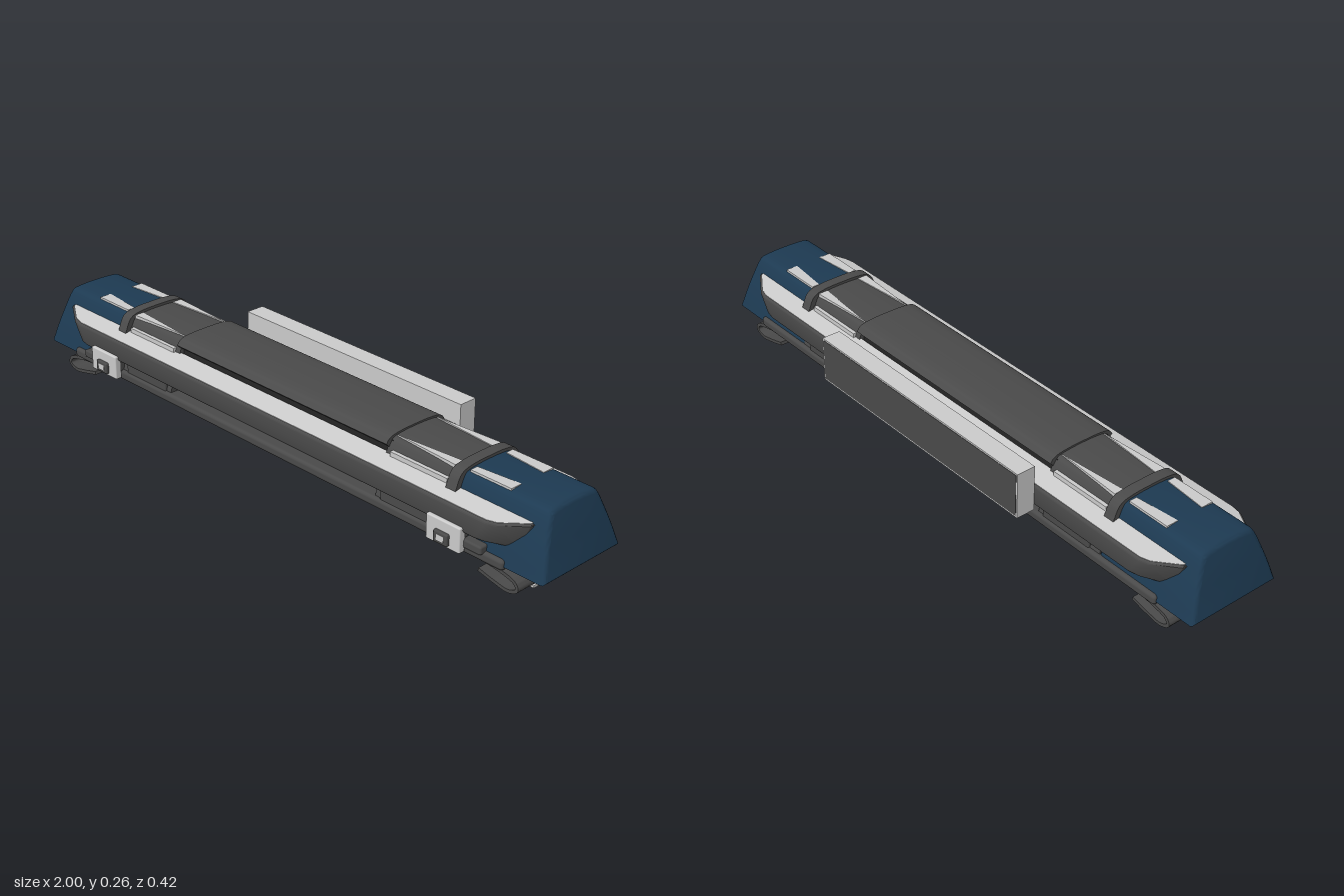
import * as THREE from 'three';
import { toCreasedNormals } from 'three/addons/utils/BufferGeometryUtils.js';
import { RoundedBoxGeometry } from 'three/addons/geometries/RoundedBoxGeometry.js';

const mat = (color) => new THREE.MeshStandardMaterial({ color, side: THREE.DoubleSide });
const light = mat(0xcccccc), dark = mat(0x4a4a4a), black = mat(0x262626);
const navy = mat(0x1d3a52), blue = mat(0x1010e0);
const CENTRE_Z = 0.0205;

function add(parent, name, geometry, material) {
  const m = new THREE.Mesh(geometry, material);
  m.name = name;
  parent.add(m);
  return m;
}

// Box given by its min and max on each axis, optionally rounded
function box(parent, name, [x0, x1], [y0, y1], [z0, z1], material, r = 0) {
  const s = [x1 - x0, y1 - y0, z1 - z0];
  const g = r ? new RoundedBoxGeometry(...s, 2, r) : new THREE.BoxGeometry(...s);
  g.translate((x0 + x1) / 2, (y0 + y1) / 2, (z0 + z1) / 2);
  return add(parent, name, g, material);
}

const shapeOf = (pts) => new THREE.Shape(pts.map(([a, b]) => new THREE.Vector2(a, b)));

function extrude(pts, depth, bevel = 0) {
  return new THREE.ExtrudeGeometry(shapeOf(pts), {
    depth: depth - 2 * bevel, bevelEnabled: bevel > 0, bevelSize: bevel,
    bevelThickness: bevel, bevelOffset: -bevel, bevelSegments: 3,
  }).translate(0, 0, bevel);
}

// Cross-section of [z, y] points swept along x
function sweepX(pts, x0, x1, bevel = 0) {
  const g = extrude(pts.map(([z, y]) => [-z, y]), x1 - x0, bevel);
  return g.rotateY(Math.PI / 2).translate(x0, 0, 0);
}

// Plan outline of [x, z] points raised from y0 to y1
function raise(pts, y0, y1, bevel = 0) {
  const g = extrude(pts.map(([x, z]) => [x, -z]), y1 - y0, bevel);
  return g.rotateX(-Math.PI / 2).translate(0, y0, 0);
}

function bend(g, rule) {
  const p = g.attributes.position, v = new THREE.Vector3();
  for (let i = 0; i < p.count; i++) {
    rule(v.fromBufferAttribute(p, i));
    p.setXYZ(i, v.x, v.y, v.z);
  }
  return toCreasedNormals(g, 0.6);
}

// Smooth symmetric outline from its right half
const mirrored = (half) => [...half, ...half.map(([z, y]) => [-z, y]).reverse()];
const smooth = (half) => {
  const c = new THREE.CatmullRomCurve3(half.map(([z, y]) => new THREE.Vector3(z, y, 0)), false, 'centripetal');
  return c.getPoints(20).map((p) => [p.x, p.y]);
};

// Closed band between a symmetric arch and its inset copy
function arch(half, t) {
  const outer = mirrored(smooth(half));
  const inner = outer.map(([z, y]) => [z * (1 - t / 0.11), y - t]).reverse();
  return [...outer, ...inner];
}

const domeHalf = [[0.148, 0.08], [0.132, 0.138], [0.11, 0.2], [0.093, 0.239], [0.083, 0.25], [0.04, 0.256], [0.006, 0.257]];

function createEnd() {
  const end = new THREE.Group();
  const dome = mirrored(smooth(domeHalf));

  // Lens cap with a leaning outer face
  const cap = sweepX(dome, 0.655, 1, 0.012);
  add(end, 'endCap', bend(cap, (v) => {
    if (v.x > 0.9) v.x -= 0.042 * (v.y - 0.08) / 0.177;
  }), navy);

  // Inner module and its side window
  add(end, 'innerDome', toCreasedNormals(sweepX(dome, 0.42, 0.657), 0.6), dark);
  for (const s of [-1, 1]) {
    const z = (a, b) => [Math.min(s * a, s * b), Math.max(s * a, s * b)];
    box(end, 'sideWindow', [0.44, 0.64], [0.208, 0.224], z(0.085, 0.112), light);
    box(end, 'lowerBlock', [0.44, 0.62], [0.09, 0.13], z(0.1, 0.148), dark, 0.005);

    // Light tapered strip and insert on top
    const wedge = [[0.43, s * 0.075], [0.645, s * 0.057], [0.645, s * 0.088]];
    add(end, 'taperedStrip', raise(s > 0 ? wedge : wedge.reverse(), 0.245, 0.257), light);
    const insert = [[0.69, s * 0.055], [0.825, s * 0.042], [0.825, s * 0.08], [0.69, s * 0.08]];
    add(end, 'topInsert', raise(insert, 0.245, 0.2575), light);

    // Foot fixings
    box(end, 'footTab', [0.895, 0.915], [0.012, 0.019], z(0.06, 0.082), light);
    box(end, 'footTab', [0.8, 0.86], [0.07, 0.077], z(0.07, 0.1), light);
  }

  // Strap over the top
  const strap = [[0.131, 0.195], [0.123, 0.213], [0.108, 0.245], [0.092, 0.257], [0.05, 0.264], [0.006, 0.265]];
  add(end, 'strap', toCreasedNormals(sweepX(arch(strap, 0.014), 0.648, 0.682), 0.6), dark);

  // Hooked mounting foot: folded plate
  const path = new THREE.CatmullRomCurve3([[0.65, 0.07], [0.8, 0.07], [0.86, 0.062], [0.905, 0.048], [0.912, 0.03],
    [0.885, 0.017], [0.84, 0.023], [0.785, 0.036]].map(([x, y]) => new THREE.Vector3(x, y, 0)), false, 'centripetal');
  const a = [], b = [], n = 32;
  for (let i = 0; i <= n; i++) {
    const p = path.getPoint(i / n), t = path.getTangent(i / n);
    a.push([p.x - t.y * 0.005, p.y + t.x * 0.005]);
    b.unshift([p.x + t.y * 0.005, p.y - t.x * 0.005]);
  }
  const foot = extrude([...a, ...b], 0.29).translate(0, 0, -0.145);
  add(end, 'mountingFoot', toCreasedNormals(foot, 0.6), dark);
  return end;
}

// Long side rail with chamfered, undercut ends
function createRail() {
  const plan = [[0.93, 0.105], [0.925, 0.118], [0.855, 0.162], [0.825, 0.169]];
  const outline = [...plan, ...plan.map(([x, z]) => [-x, z]).reverse()];
  const g = raise(outline, 0.135, 0.198, 0.007);
  bend(g, (v) => {
    const low = (0.198 - v.y) / 0.063;
    if (Math.abs(v.x) > 0.8) v.x -= Math.sign(v.x) * 0.04 * low;
    if (v.y > 0.16) v.y += (0.169 - v.z) * 0.2;
    else v.y -= (0.169 - v.z) * 0.15;
  });
  const rail = new THREE.Group();
  rail.name = 'sideRail';
  add(rail, 'railBody', toCreasedNormals(g, 0.6), dark);
  const top = raise(outline.map(([x, z]) => [x * 0.992, z - 0.006]), 0.197, 0.199);
  add(rail, 'railTop', bend(top, (v) => { v.y += (0.169 - v.z) * 0.2; }), light);
  return rail;
}

export function createModel() {
  const model = new THREE.Group();
  model.name = 'lightBar';
  const body = new THREE.Group();
  body.name = 'body';
  body.position.z = CENTRE_Z;
  model.add(body);

  // Base tray and inner core
  box(body, 'baseTray', [-0.87, 0.87], [0.068, 0.098], [-0.155, 0.155], dark, 0.01);
  box(body, 'core', [-0.43, 0.43], [0.09, 0.245], [-0.09, 0.09], black);

  // Central curved cover
  const cover = [[0.11, 0.238], [0.103, 0.248], [0.088, 0.256], [0.05, 0.261], [0.006, 0.262]];
  add(body, 'centreCover', toCreasedNormals(sweepX(arch(cover, 0.01), -0.425, 0.425), 0.6), dark);

  for (const turn of [0, Math.PI]) {
    const end = createEnd();
    end.name = turn ? 'rightEnd' : 'leftEnd';
    end.rotation.y = turn;
    body.add(end);
    const rail = createRail();
    rail.rotation.y = turn;
    body.add(rail);
  }

  // Front brackets with clamp knobs
  for (const s of [-1, 1]) {
    const bracket = new THREE.Group();
    bracket.name = 'frontBracket';
    bracket.position.x = s * 0.692;
    model.add(bracket);
    box(bracket, 'bracketPlate', [-0.058, 0.058], [0.077, 0.15], [0.178, 0.2], light, 0.004);
    box(bracket, 'bracketArm', [-0.05, 0.05], [0.08, 0.125], [0.14, 0.18], dark);
    box(bracket, 'clampKnob', [-0.024, 0.024], [0.086, 0.12], [0.195, 0.21], dark, 0.004);
    box(bracket, 'clampStud', [-0.012, 0.012], [0.095, 0.111], [0.2, 0.2105], light);
    const x = s > 0 ? [0.05, 0.115] : [-0.115, -0.05];
    box(bracket, 'sideFlange', x, [0.09, 0.115], [0.15, 0.185], dark, 0.006);
  }

  // Rear panel with dark outer face
  box(model, 'rearPanel', [-0.43, 0.43], [0.12, 0.26], [-0.207, -0.148], light);
  box(model, 'rearPanelFace', [-0.425, 0.425], [0.125, 0.255], [-0.208, -0.206], dark);

  // Small block under the base with a coloured front
  box(model, 'lowerBlock', [-0.058, 0.058], [0.003, 0.07], [0, 0.033], light, 0.004);
  box(model, 'lowerBlockFace', [-0.054, 0.054], [0.012, 0.066], [0.032, 0.035], blue);
  return model;
}
